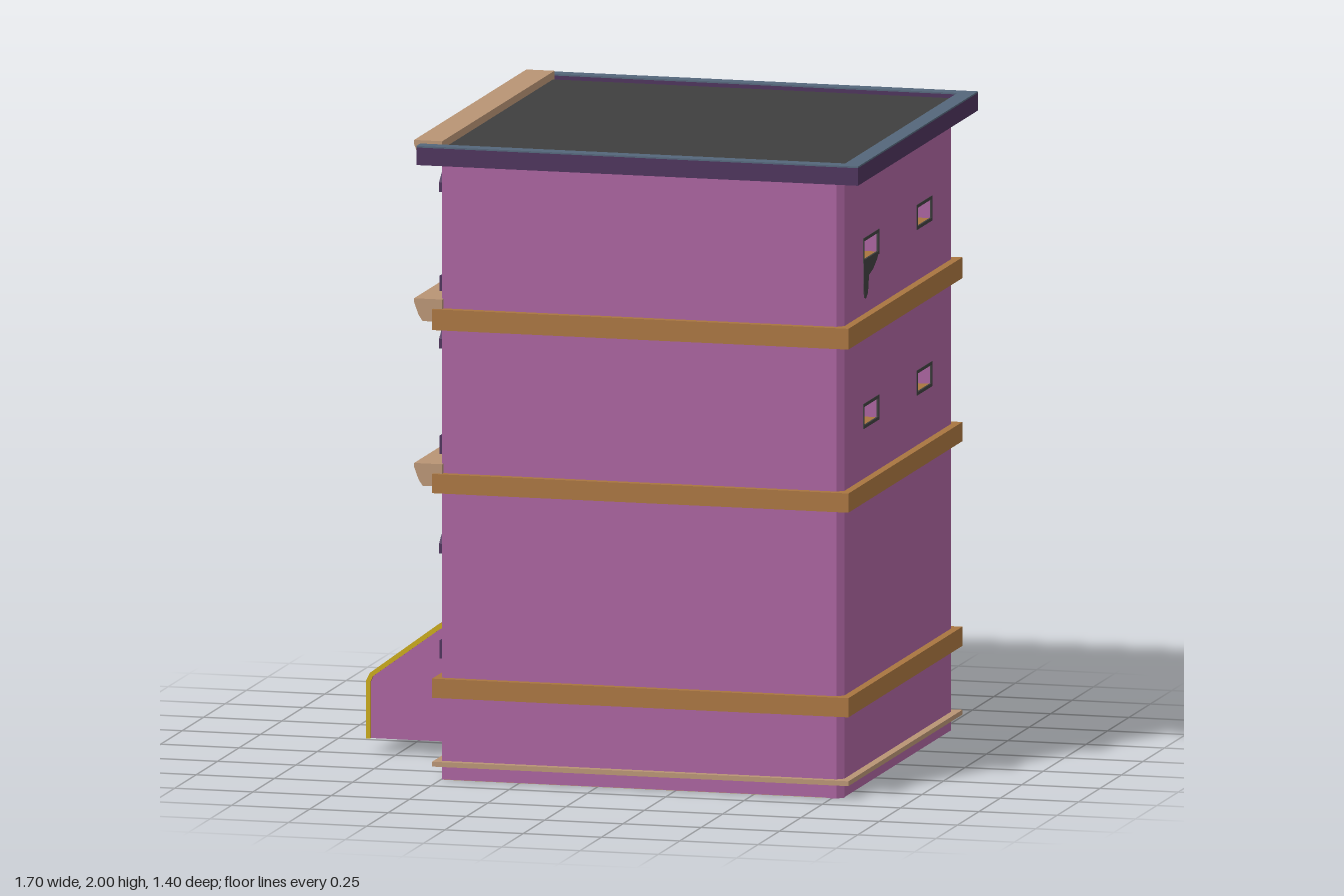
import * as THREE from 'three';

const mat = (name, color) => Object.assign(new THREE.MeshStandardMaterial({ color }), { name });

export function createModel() {
  const wall = mat('pink wall', 0xa9629d);
  const purple = mat('dark purple trim', 0x4c325b);
  const slate = mat('slate coping', 0x54667a);
  const roofGrey = mat('roof grey', 0x3f3f3f);
  const ochre = mat('ochre wood', 0xa87540);
  const tan = mat('tan stone', 0xb89474);
  const glass = mat('window glass', 0x8ab8c8);
  const brown = mat('step brown', 0x85502f);
  const darkWood = mat('door brown', 0x5f3d22);
  const yellow = mat('yellow edging', 0xc8a818);

  const model = new THREE.Group();
  model.name = 'townhouse';

  const add = (parent, name, geo, material, x = 0, y = 0, z = 0) => {
    const m = new THREE.Mesh(geo, material);
    m.name = name;
    m.position.set(x, y, z);
    parent.add(m);
    return m;
  };
  // Box given by its minimum and maximum on each axis
  const box = (parent, name, material, x0, x1, y0, y1, z0, z1) =>
    add(parent, name, new THREE.BoxGeometry(x1 - x0, y1 - y0, z1 - z0), material,
      (x0 + x1) / 2, (y0 + y1) / 2, (z0 + z1) / 2);
  const poly = (pts, T = THREE.Shape) => new T(pts.map(p => new THREE.Vector2(...p)));
  const rect = (x0, x1, y0, y1) => [[x0, y0], [x1, y0], [x1, y1], [x0, y1]];
  const extrude = (shape, depth) =>
    new THREE.ExtrudeGeometry(shape, { depth, bevelEnabled: false });
  // Wall panel pierced by rectangular openings
  const panel = (outline, holes, depth) => {
    const s = poly(outline);
    holes.forEach(h => s.holes.push(poly(rect(...h), THREE.Path)));
    return extrude(s, depth);
  };
  // Side profile (outward, up) swept across a given width
  const profile = (pts, width) =>
    extrude(poly(pts), width).translate(0, 0, -width / 2).rotateY(-Math.PI / 2);

  // Each wall group has x along the wall, y up and z outward
  const facade = new THREE.Group();
  facade.name = 'entranceFacade';
  facade.rotation.y = -Math.PI / 2;
  const rear = new THREE.Group();
  rear.name = 'rearWall';
  rear.rotation.y = Math.PI / 2;
  model.add(facade, rear);

  // Main block and chamfered rear corners
  box(model, 'body', wall, -0.45, 0.735, 0.002, 1.95, -0.64, 0.64);
  box(model, 'bottom', tan, -0.49, 0.765, 0, 0.004, -0.635, 0.635);
  for (const s of [-1, 1]) {
    const pts = [[0.735, 0.62], [0.785, 0.62], [0.765, 0.64], [0.735, 0.64]].map(([x, z]) => [x, -s * z]);
    add(model, 'cornerChamfer', extrude(poly(pts), 1.95).rotateX(-Math.PI / 2), wall);
  }

  // Horizontal bands
  for (const [y0, y1] of [[0.26, 0.32], [0.9, 0.96], [1.41, 1.475]])
    box(model, 'band', ochre, -0.52, 0.81, y0, y1, -0.665, 0.665);
  box(model, 'baseMoulding', tan, -0.52, 0.81, 0.045, 0.06, -0.665, 0.665);

  // Roof slab, coping and sunken deck
  const rim = rect(-0.56, 0.85, -0.7, 0.7);
  const well = [-0.495, 0.797, -0.655, 0.655];
  add(model, 'roofSlab', panel(rim, [well], 0.055).rotateX(-Math.PI / 2), purple, 0, 1.93, 0);
  add(model, 'coping', panel(rim, [well], 0.005).rotateX(-Math.PI / 2), slate, 0, 1.985, 0);
  box(model, 'roofEdge', purple, -0.5, 0.8, 1.935, 1.97, -0.66, 0.66);
  box(model, 'roofDeck', roofGrey, -0.49, 0.782, 1.97, 1.976, -0.637, 0.637);

  // Rear wall with small recessed windows
  const small = [];
  for (const y of [1.155, 1.673])
    for (const x of [-0.31, 0.31]) small.push([x - 0.088, x + 0.088, y - 0.036, y + 0.036]);
  add(rear, 'rearPanel', panel(rect(-0.62, 0.62, 0.002, 1.95), small, 0.05), wall, 0, 0, 0.735);
  for (const [x0, x1, y0, y1] of small) {
    box(rear, 'smallGlass', glass, x0, x1, y0, y1, 0.735, 0.739);
    box(rear, 'smallSill', ochre, x0, x1, y0, y0 + 0.004, 0.739, 0.784);
    add(rear, 'smallFrame', panel(rect(x0 - 0.003, x1 + 0.003, y0 - 0.003, y1 + 0.003),
      [[x0 + 0.007, x1 - 0.007, y0 + 0.007, y1 - 0.007]], 0.006), roofGrey, 0, 0, 0.781);
  }
  // Dark stain under one window
  add(rear, 'stain', extrude(poly([[-0.4, 1.637], [-0.4, 1.57], [-0.393, 1.525], [-0.375, 1.52],
    [-0.352, 1.535], [-0.34, 1.588], [-0.29, 1.6], [-0.24, 1.625], [-0.235, 1.637]]), 0.003),
    roofGrey, 0, 0, 0.784);

  // Entrance facade openings: [centre, bottom, top]
  const openings = [];
  for (const [y0, y1] of [[0.41, 0.69], [1.05, 1.33], [1.55, 1.82]])
    for (const x of [-0.42, 0, 0.42])
      if (x !== 0 || y0 > 1) openings.push([x, y0, y1]);
  const holes = openings.map(([x, y0, y1]) => [x - 0.07, x + 0.07, y0, y1]);
  add(facade, 'facadePanel', panel(rect(-0.64, 0.64, 0.002, 1.95),
    [...holes, [-0.1, 0.1, 0.345, 0.64]], 0.045), wall, 0, 0, 0.45);

  for (const [x, y0, y1] of openings) {
    const w = new THREE.Group();
    w.name = 'facadeWindow';
    w.position.x = x;
    facade.add(w);
    box(w, 'glass', glass, -0.07, 0.07, y0, y1, 0.45, 0.456);
    const mid = (y0 + y1) / 2;
    add(w, 'sash', panel(rect(-0.07, 0.07, y0, y1),
      [[-0.054, 0.054, y0 + 0.016, mid - 0.008], [-0.054, 0.054, mid + 0.008, y1 - 0.016]], 0.018),
      brown, 0, 0, 0.452);
    // Lintel with clipped upper corners, and sill
    add(w, 'lintel', extrude(poly([[-0.09, y1 - 0.005], [0.09, y1 - 0.005], [0.09, y1 + 0.025],
      [0.06, y1 + 0.05], [-0.06, y1 + 0.05], [-0.09, y1 + 0.025]]), 0.06), purple, 0, 0, 0.48);
    box(w, 'sill', purple, -0.085, 0.085, y0 - 0.055, y0 + 0.002, 0.48, 0.54);
  }

  // Projecting cornices and door canopy
  const cornice = (name, top, width) => add(facade, name, profile([[0.49, top - 0.07], [0.553, top - 0.07],
    [0.566, top - 0.05], [0.58, top - 0.012], [0.58, top], [0.49, top]], width), tan);
  cornice('roofCornice', 2, 1.31);
  cornice('upperCornice', 1.505, 1.31);
  cornice('lowerCornice', 0.99, 1.31);
  cornice('doorCanopy', 0.745, 0.48);

  // Door surround with bracketed posts
  for (const s of [-1, 1]) {
    add(facade, 'doorPost', profile([[0.49, 0.045], [0.52, 0.045], [0.52, 0.565], [0.545, 0.6],
      [0.548, 0.69], [0.49, 0.69]], 0.09), ochre, s * 0.155);
    box(facade, 'doorLeaf', darkWood, s > 0 ? 0.003 : -0.1, s > 0 ? 0.1 : -0.003, 0.345, 0.62, 0.45, 0.465);
    for (const y of [0.375, 0.49])
      box(facade, 'doorPanel', brown, s * 0.05 - 0.032, s * 0.05 + 0.032, y, y + 0.095, 0.464, 0.47);
  }
  box(facade, 'doorHeader', ochre, -0.115, 0.115, 0.62, 0.69, 0.45, 0.525);

  // Stairs: open treads and risers
  for (let i = 0; i < 5; i++) {
    const top = 0.1 + i * 0.061, out = 0.84 - i * 0.065;
    const back = i === 4 ? 0.455 : out - 0.07;
    box(facade, 'tread', brown, -0.172, 0.172, top - 0.018, top, back, out);
    box(facade, 'riser', brown, -0.172, 0.172, top - 0.055, top - 0.018, out - 0.016, out - 0.006);
  }

  // Stair walls with edged caps
  const outer = [[0.85, 0.045], [0.85, 0.225], [0.838, 0.25], [0.622, 0.41], [0.595, 0.422], [0.495, 0.422]];
  const inner = [[0.836, 0.045], [0.836, 0.222], [0.828, 0.24], [0.614, 0.397], [0.592, 0.407], [0.495, 0.407]];
  for (const s of [-1, 1]) {
    add(facade, 'stairWall', profile([[0.495, 0.045], ...inner], 0.046), wall, s * 0.198);
    add(facade, 'stairCap', profile([...outer, ...[...inner].reverse()], 0.058), [yellow, ochre], s * 0.2);
  }

  return model;
}
